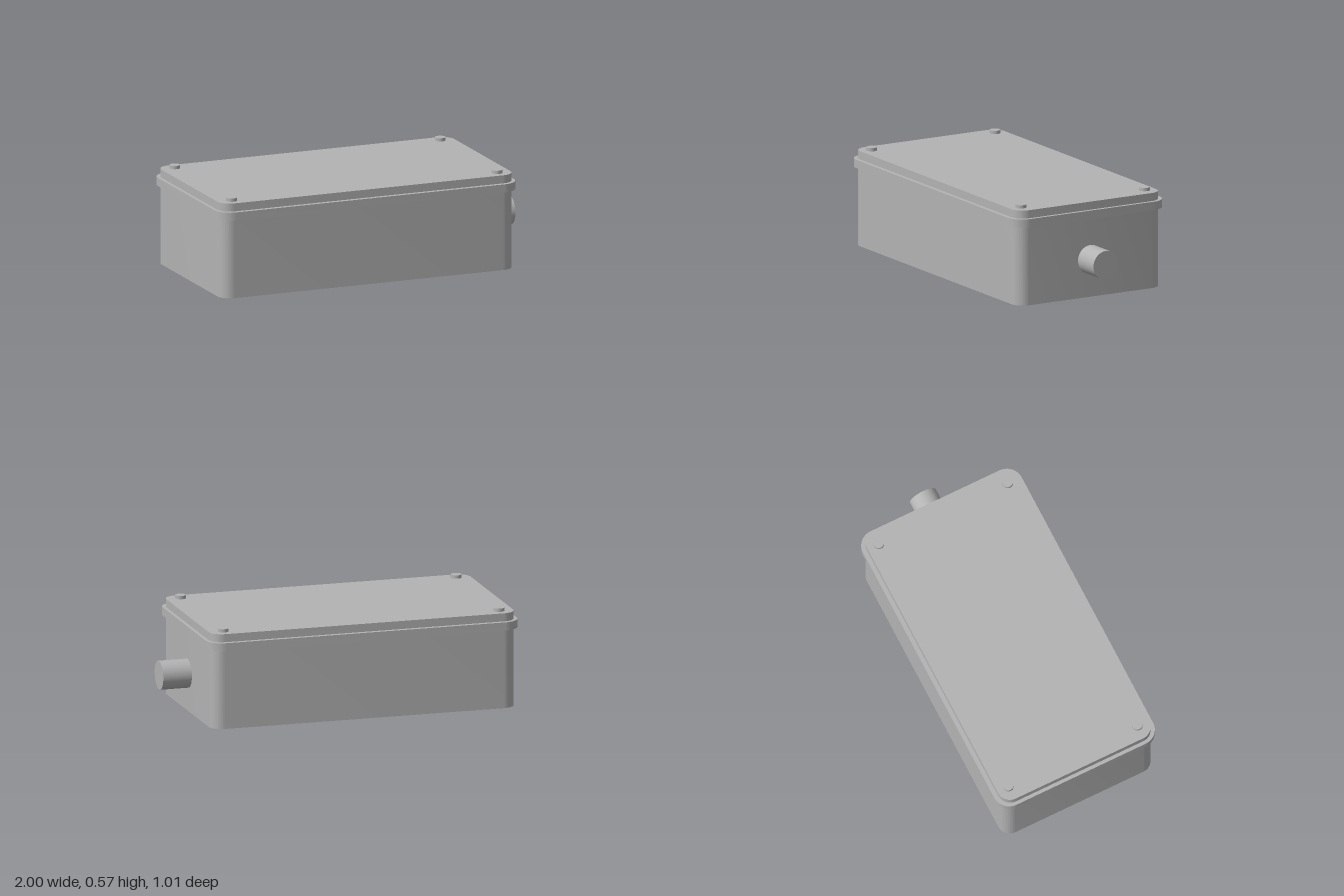
import * as THREE from 'three';
import { toCreasedNormals } from 'three/addons/utils/BufferGeometryUtils.js';

// Upright prism with a rounded-rectangle footprint, from y0 to y1
function roundedSlab(w, d, r, y0, y1) {
  const x = w / 2 - r, y = d / 2 - r;
  const s = new THREE.Shape();
  s.absarc(x, y, r, 0, Math.PI / 2);
  s.absarc(-x, y, r, Math.PI / 2, Math.PI);
  s.absarc(-x, -y, r, Math.PI, Math.PI * 1.5);
  s.absarc(x, -y, r, Math.PI * 1.5, Math.PI * 2);
  s.closePath();
  const g = new THREE.ExtrudeGeometry(s, { depth: y1 - y0, bevelEnabled: false, curveSegments: 12 });
  g.rotateX(-Math.PI / 2).translate(0, y0, 0);
  return toCreasedNormals(g, 0.6);
}

export function createModel() {
  const model = new THREE.Group();
  model.name = 'junctionBox';
  const grey = new THREE.MeshStandardMaterial({ color: 0xb3b3b3 });
  grey.name = 'grey';
  const centreX = -0.075;

  const add = (name, geometry, x, y, z) => {
    const mesh = new THREE.Mesh(geometry, grey);
    mesh.name = name;
    mesh.position.set(x, y, z);
    model.add(mesh);
    return mesh;
  };

  // Enclosure: body, overhanging rim and raised lid
  add('body', roundedSlab(1.81, 0.96, 0.075, 0, 0.46), centreX, 0, 0);
  add('rim', roundedSlab(1.85, 1.01, 0.095, 0.46, 0.508), centreX, 0, 0);
  add('lid', roundedSlab(1.81, 0.96, 0.075, 0.508, 0.555), centreX, 0, 0);

  // Lid screws, one near each corner
  const screw = new THREE.CylinderGeometry(0.031, 0.031, 0.019, 32);
  for (const sx of [-1, 1]) {
    for (const sz of [-1, 1]) add('lidScrew', screw, centreX + sx * 0.82, 0.5645, sz * 0.41);
  }

  // Cable outlet on the left end
  const outlet = new THREE.CylinderGeometry(0.083, 0.083, 0.17, 48).rotateZ(-Math.PI / 2);
  add('cableOutlet', outlet, 0.915, 0.219, 0);

  return model;
}
